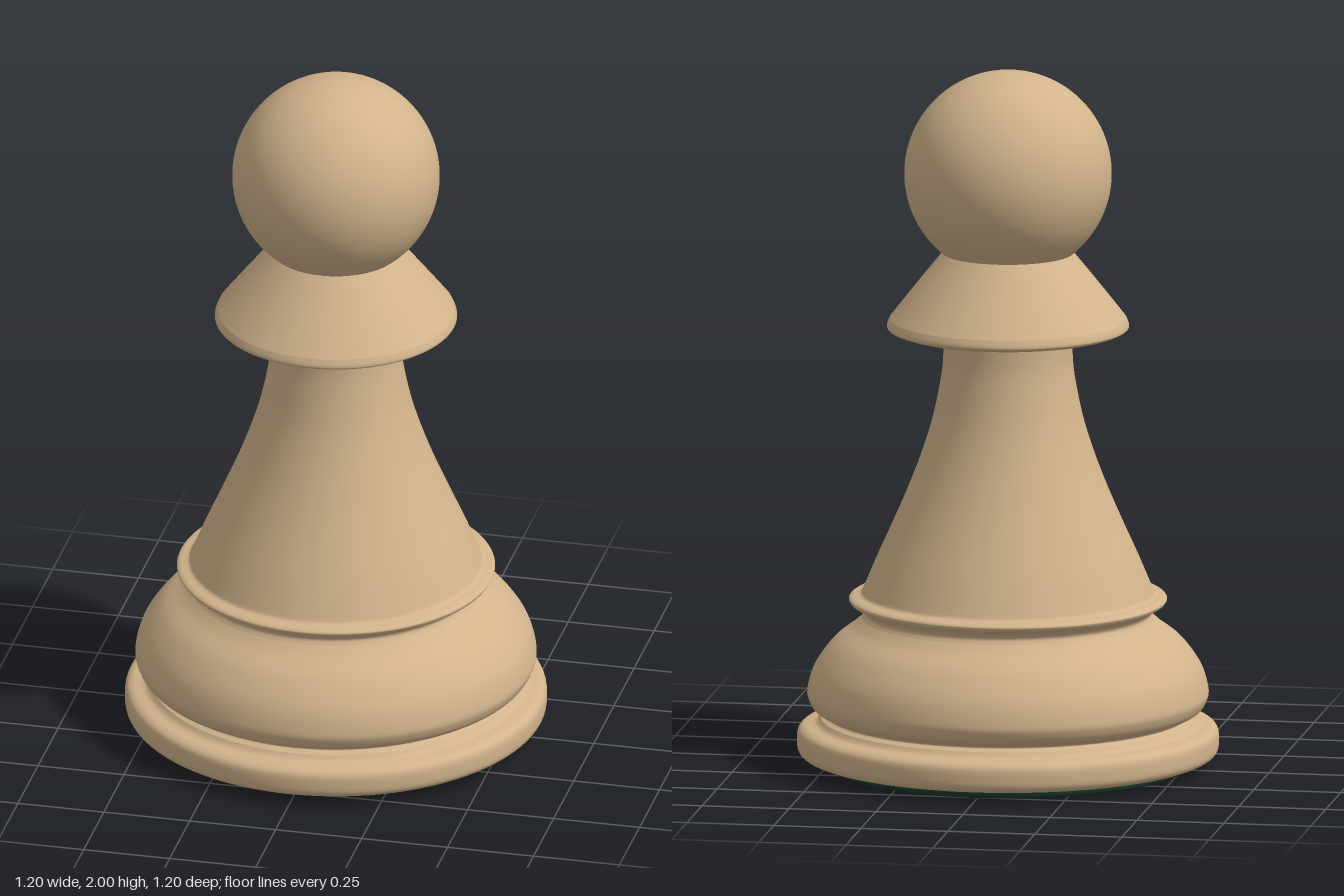
import * as THREE from 'three';

const wood = new THREE.MeshStandardMaterial({ color: 0xd2b48c });
const felt = new THREE.MeshStandardMaterial({ color: 0x1b3a2b });
const SEGMENTS = 96;

// Turns a [radius, height] profile, listed bottom to top, around the y axis.
// Each run of points becomes a smooth curve; the runs meet at crisp edges.
function turned(name, material, ...runs) {
  const group = new THREE.Group();
  group.name = name;
  for (const run of runs) {
    let points = run.map(([r, y]) => new THREE.Vector2(r, y));
    if (points.length > 2) points = new THREE.SplineCurve(points).getPoints((points.length - 1) * 6);
    const mesh = new THREE.Mesh(new THREE.LatheGeometry(points, SEGMENTS), material);
    mesh.name = name + 'Surface';
    group.add(mesh);
  }
  return group;
}

export function createModel() {
  const model = new THREE.Group();
  model.name = 'pawn';

  // felt pad under the foot
  model.add(turned('feltPad', felt,
    [[0, 0], [0.505, 0]],
    [[0.505, 0], [0.52, 0.007], [0.525, 0.027]]));

  // rounded foot disc
  model.add(turned('foot', wood,
    [[0, 0.024], [0.53, 0.024]],
    [[0.53, 0.024], [0.575, 0.03], [0.594, 0.044], [0.598, 0.07], [0.595, 0.1], [0.578, 0.115], [0.545, 0.123], [0.53, 0.138]]));

  // swelling lower body, with the groove above the foot
  model.add(turned('lowerBody', wood,
    [[0.53, 0.138], [0.515, 0.146], [0.52, 0.154]],
    [[0.52, 0.154], [0.548, 0.166], [0.564, 0.19], [0.568, 0.22], [0.548, 0.285], [0.497, 0.355], [0.44, 0.4], [0.414, 0.425]]));

  // thin ring at the bottom of the stem
  model.add(turned('stemRing', wood,
    [[0.414, 0.425], [0.407, 0.44], [0.42, 0.457], [0.446, 0.47]],
    [[0.446, 0.47], [0.451, 0.48], [0.442, 0.488], [0.418, 0.495], [0.41, 0.507]]));

  // flared stem
  model.add(turned('stem', wood,
    [[0.41, 0.507], [0.371, 0.6], [0.326, 0.7], [0.283, 0.8], [0.245, 0.9], [0.214, 1.0], [0.193, 1.1], [0.184, 1.17], [0.184, 1.24]]));

  // conical collar with a rounded rim
  model.add(turned('collar', wood,
    [[0.18, 1.234], [0.26, 1.241], [0.32, 1.252]],
    [[0.32, 1.252], [0.34, 1.26], [0.343, 1.27], [0.336, 1.288]],
    [[0.336, 1.288], [0.26, 1.385], [0.18, 1.484]]));

  // ball head
  const head = new THREE.Mesh(new THREE.SphereGeometry(0.294, SEGMENTS, 48), wood);
  head.name = 'head';
  head.position.y = 1.706;
  model.add(head);

  return model;
}
